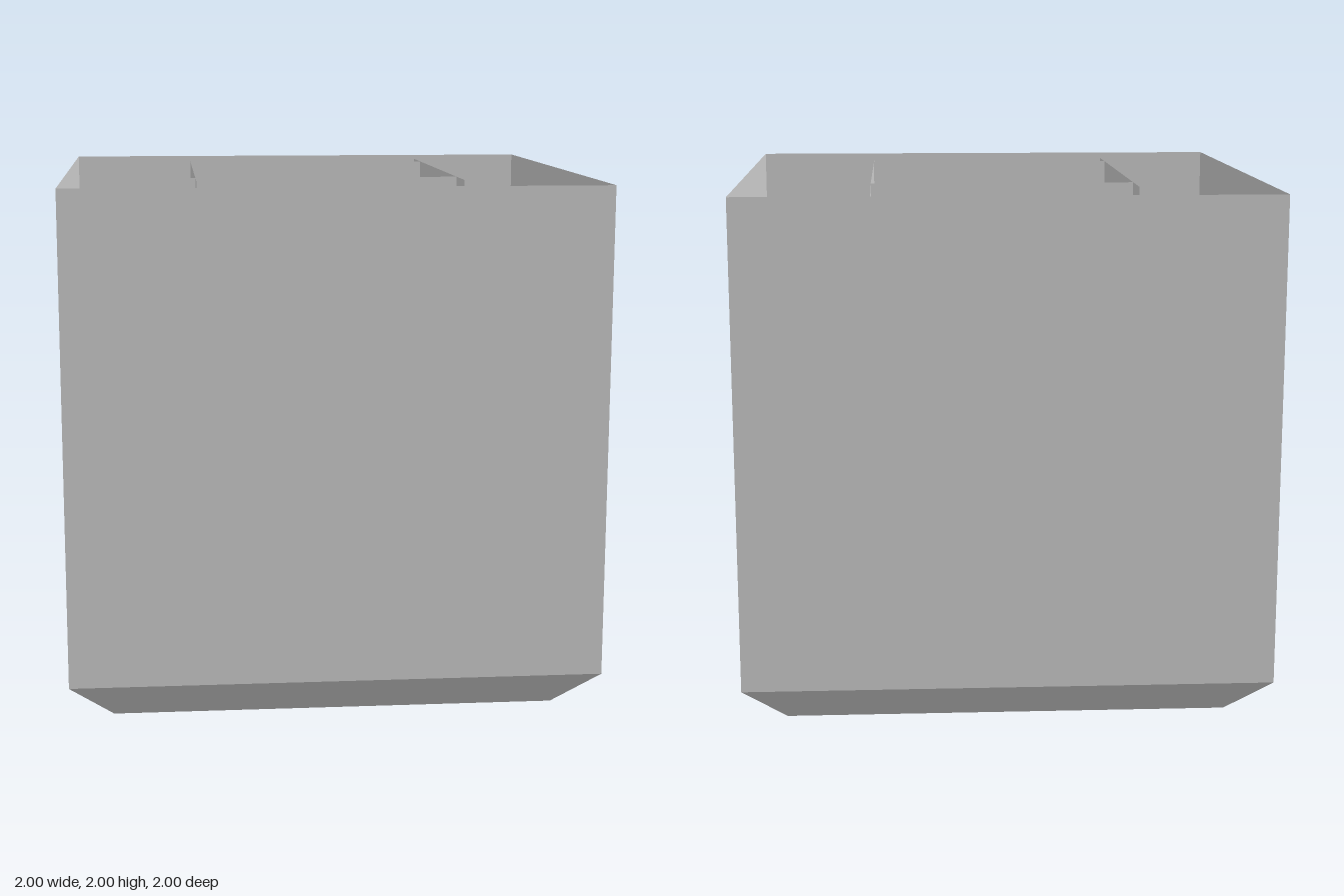
import * as THREE from 'three';

const material = new THREE.MeshStandardMaterial({
  color: 0xcccccc, flatShading: true, side: THREE.DoubleSide,
});

function flatMesh(geometry, name) {
  const flat = geometry.toNonIndexed();
  flat.computeVertexNormals();
  const mesh = new THREE.Mesh(flat, material);
  mesh.name = name;
  return mesh;
}

// Thin folded sheet: upright lip, outward bevel, then a wall down to the floor
const fold = [[0.5, 2], [0.5, 1.86], [0.57, 1.79], [0.57, 0]]; // [outward, y]

function foldedPanel(length, name) {
  const geometry = new THREE.PlaneGeometry(length, 1, 1, fold.length - 1);
  const pos = geometry.attributes.position;
  for (let i = 0; i < pos.count; i++) {
    const [out, y] = fold[Math.floor(i / 2)];
    pos.setXYZ(i, pos.getX(i), y, out);
  }
  return flatMesh(geometry, name);
}

export function createModel() {
  const model = new THREE.Group();

  // Open square tub with a chamfered base
  const r = Math.SQRT2;
  const profile = [[0, 0], [0.84 * r, 0], [r, 0.16], [r, 2]]
    .map(([x, y]) => new THREE.Vector2(x, y));
  const shell = new THREE.LatheGeometry(profile, 4, Math.PI / 4);
  model.add(flatMesh(shell, 'outerTub'));

  // Inner column of four crossing panels, the side pair running longer
  const column = new THREE.Group();
  column.name = 'innerColumn';
  ['frontPanel', 'leftPanel', 'backPanel', 'rightPanel'].forEach((name, i) => {
    const panel = foldedPanel(i % 2 ? 1.38 : 1.17, name);
    panel.rotation.y = i * Math.PI / 2;
    column.add(panel);
  });
  model.add(column);

  return model;
}
